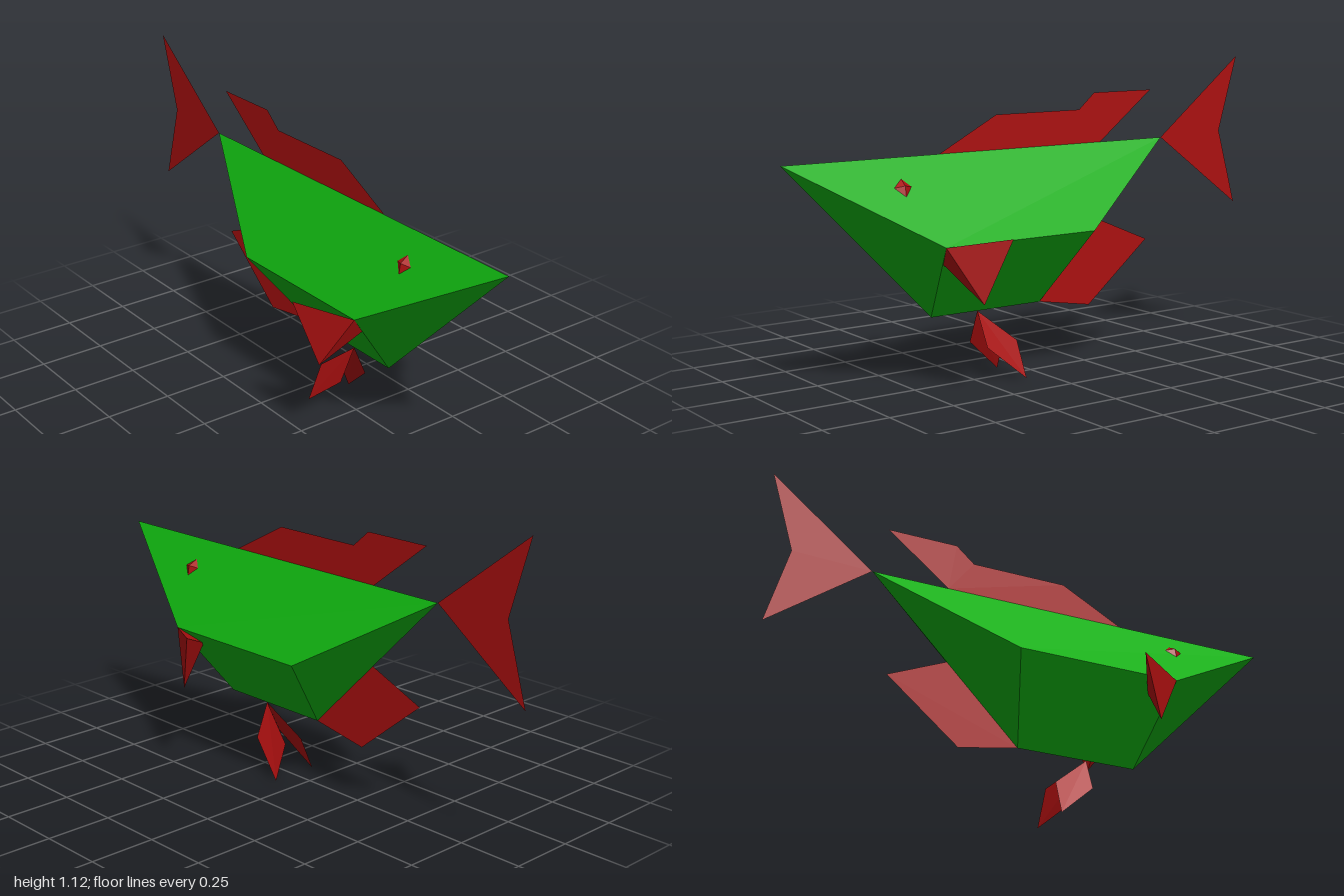
import * as THREE from 'three';
import { ConvexGeometry } from 'three/addons/geometries/ConvexGeometry.js';

const green = new THREE.MeshStandardMaterial({ color: 0x10b010, flatShading: true });
green.name = 'bodyGreen';
const red = new THREE.MeshStandardMaterial({ color: 0xac1010, flatShading: true, side: THREE.DoubleSide });
red.name = 'finRed';

// Points mirrored to side s (+1 left, -1 right)
const pts = (list, s = 1) => list.map(([x, y, z]) => new THREE.Vector3(x * s, y, z));

export function createModel() {
  const group = new THREE.Group();
  const add = (name, geometry, material) => {
    const mesh = new THREE.Mesh(geometry, material);
    mesh.name = name;
    group.add(mesh);
  };

  // Flat fin on the centre plane, outlined by [z, y] points
  const centreFin = (name, outline) => {
    const shape = new THREE.Shape(outline.map(([z, y]) => new THREE.Vector2(-z, y)));
    add(name, new THREE.ShapeGeometry(shape).rotateY(Math.PI / 2), red);
  };

  // Faceted body: top ridge, widest edges, belly keel
  add('body', new ConvexGeometry(pts([
    [0, 0.83, 1], [0, 0.83, -0.615],
    [0.213, 0.54, 0.5], [0.213, 0.54, -0.13],
    [-0.213, 0.54, 0.5], [-0.213, 0.54, -0.13],
    [0, 0.256, 0.43], [0, 0.256, -0.04],
  ])), green);

  centreFin('dorsalFin', [[0.39, 0.83], [0.15, 0.955], [-0.22, 0.955], [-0.29, 1.015], [-0.56, 1.015], [-0.32, 0.83]]);
  centreFin('tailFin', [[-0.615, 0.83], [-1, 1.13], [-0.915, 0.84], [-1, 0.55]]);
  centreFin('analFin', [[-0.04, 0.256], [-0.27, 0.217], [-0.545, 0.442], [-0.31, 0.54]]);

  for (const [side, s] of [['left', 1], ['right', -1]]) {
    // Thin wedge fin swept back from the widest edge
    add(side + 'PectoralFin', new ConvexGeometry(pts([
      [0.213, 0.54, 0.5], [0.327, 0.566, 0.305], [0.277, 0.342, 0.39],
      [0.162, 0.475, 0.482], [0.165, 0.49, 0.405],
    ], s)), red);

    // Four-cornered fin under the belly
    const pelvic = new THREE.BufferGeometry().setFromPoints(pts([
      [0, 0.256, 0.235], [0.057, 0.13, 0.23], [0.094, 0.005, 0.085], [0.04, 0.137, 0.09],
    ], s));
    pelvic.setIndex([0, 1, 2, 0, 2, 3]);
    pelvic.computeVertexNormals();
    add(side + 'PelvicFin', pelvic, red);

    // Small pyramid eye on the upper flank
    add(side + 'Eye', new ConvexGeometry(pts([
      [0.05, 0.762, 0.575], [0.092, 0.703, 0.58], [0.069, 0.735, 0.615],
      [0.069, 0.735, 0.545], [0.085, 0.742, 0.58],
    ], s)), red);
  }
  return group;
}
